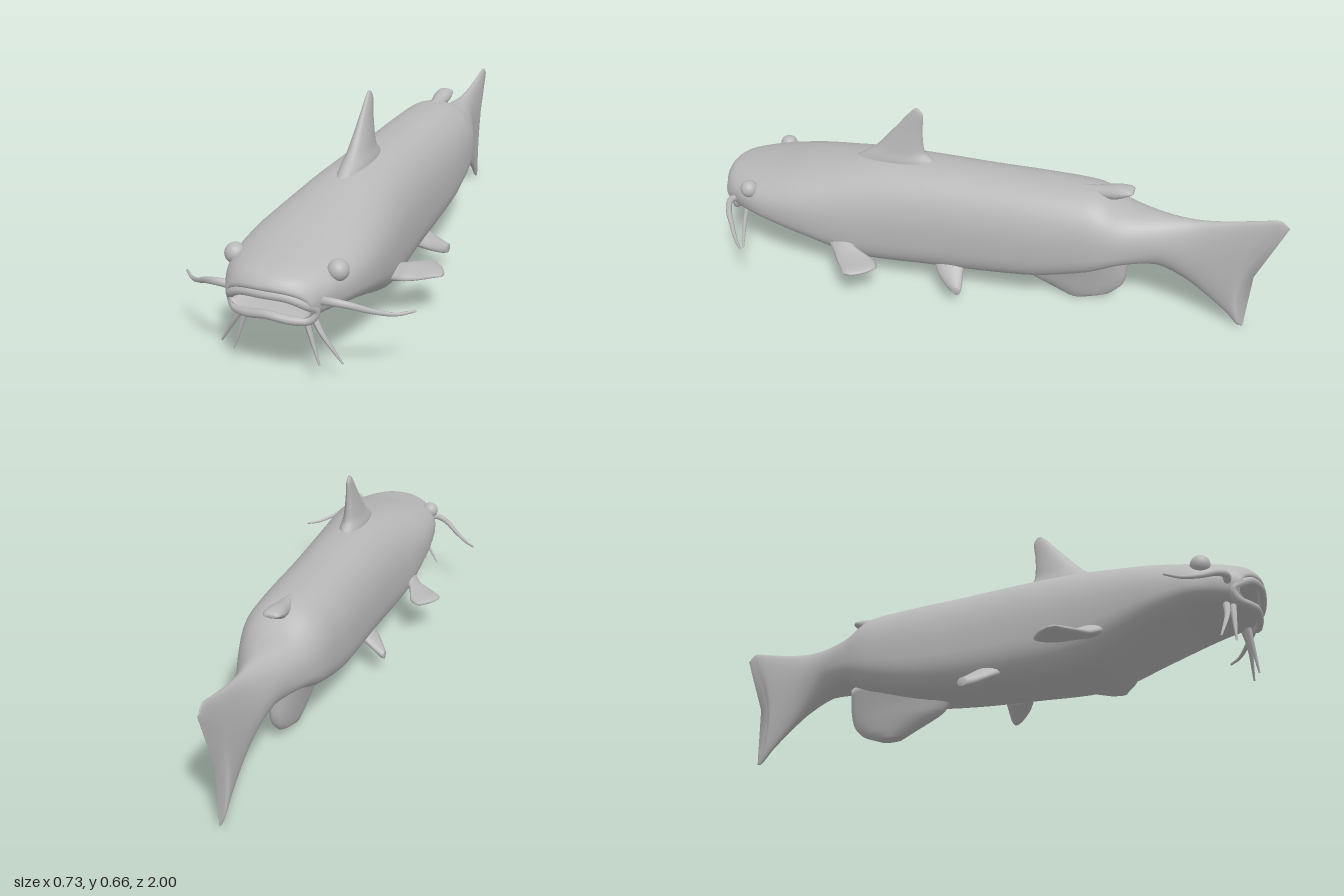
import * as THREE from 'three';

const skin = new THREE.MeshStandardMaterial({ color: 0xb8b8b8 });
skin.name = 'grey skin';

const V = (x, y, z) => new THREE.Vector3(x, y, z);
const spow = (v, p) => Math.sign(v) * Math.pow(Math.abs(v), p);

// Smooth closed skin through rings of equal point count, with both ends capped
function loft(rings, steps = 4) {
  const n = rings[0].length, rows = (rings.length - 1) * steps, pos = [], idx = [];
  const columns = rings[0].map((_, j) =>
    new THREE.CatmullRomCurve3(rings.map(r => r[j]), false, 'catmullrom', 0.4).getPoints(rows));
  for (let i = 0; i <= rows; i++) for (let j = 0; j < n; j++) pos.push(...columns[j][i].toArray());
  for (let i = 0; i < rows; i++) for (let j = 0; j < n; j++) {
    const k = (j + 1) % n, a = i * n + j, b = i * n + k, c = a + n, d = b + n;
    idx.push(a, c, b, b, c, d);
  }
  for (const [row, flip] of [[0, false], [rows, true]]) {
    const mid = V(0, 0, 0), centre = pos.length / 3;
    columns.forEach(col => mid.addScaledVector(col[row], 1 / n));
    pos.push(...mid.toArray());
    for (let j = 0; j < n; j++) {
      const a = row * n + j, b = row * n + (j + 1) % n;
      idx.push(centre, ...(flip ? [b, a] : [a, b]));
    }
  }
  // Turn the faces outward if the enclosed volume comes out negative
  let volume = 0;
  const p = i => V(pos[i * 3], pos[i * 3 + 1], pos[i * 3 + 2]);
  for (let i = 0; i < idx.length; i += 3) volume += p(idx[i]).dot(p(idx[i + 1]).cross(p(idx[i + 2])));
  if (volume < 0) idx.reverse();
  const g = new THREE.BufferGeometry();
  g.setAttribute('position', new THREE.Float32BufferAttribute(pos, 3));
  g.setIndex(idx);
  g.computeVertexNormals();
  return g;
}

// Ring of points from a rule that receives cosine and sine
const ring = (n, rule) => Array.from({ length: n }, (_, j) => {
  const a = j / n * Math.PI * 2;
  return rule(Math.cos(a), Math.sin(a));
});

// Whisker: a tube that narrows to its tip
function whisker(points, r) {
  const curve = new THREE.CatmullRomCurve3(points), seg = 20, sides = 8;
  const g = new THREE.TubeGeometry(curve, seg, r, sides);
  const pos = g.attributes.position, v = V(0, 0, 0);
  for (let i = 0; i < pos.count; i++) {
    const t = Math.floor(i / (sides + 1)) / seg, c = curve.getPointAt(t);
    v.fromBufferAttribute(pos, i).sub(c).multiplyScalar(1 - 0.75 * t).add(c);
    pos.setXYZ(i, v.x, v.y, v.z);
  }
  g.computeVertexNormals();
  return g;
}

export function createModel() {
  const model = new THREE.Group();
  const add = (name, geometry) => {
    const m = new THREE.Mesh(geometry, skin);
    m.name = name;
    model.add(m);
    return m;
  };

  // Body and tail: z, half width, bottom, top, snout curve, tail fork
  const sections = [
    [0.90, 0.080, 0.230, 0.265, 1, 0],
    [0.965, 0.115, 0.220, 0.280, 2.2, 0],
    [0.995, 0.128, 0.208, 0.305, 2.2, 0],
    [0.97, 0.145, 0.200, 0.337, 1.8, 0],
    [0.90, 0.170, 0.198, 0.356, 0.6, 0],
    [0.80, 0.195, 0.190, 0.376, 0, 0],
    [0.67, 0.205, 0.150, 0.408, 0, 0],
    [0.50, 0.193, 0.087, 0.443, 0, 0],
    [0.38, 0.180, 0.073, 0.460, 0, 0],
    [0.20, 0.167, 0.083, 0.470, 0, 0],
    [0.00, 0.160, 0.098, 0.474, 0, 0],
    [-0.20, 0.157, 0.125, 0.479, 0, 0],
    [-0.38, 0.145, 0.180, 0.475, 0, 0],
    [-0.48, 0.118, 0.225, 0.425, 0, 0],
    [-0.60, 0.073, 0.220, 0.414, 0, 0],
    [-0.70, 0.044, 0.170, 0.415, 0, 0.05],
    [-0.77, 0.032, 0.115, 0.430, 0, 0.25],
    [-0.83, 0.025, 0.057, 0.455, 0, 0.6],
    [-0.865, 0.020, 0.012, 0.470, 0, 0.85],
    [-0.88, 0.010, 0.010, 0.445, 0, 1],
  ];
  add('body', loft(sections.map(([z, w, b, t, bend, fork]) => {
    const thin = z < -0.5, mid = b + (t - b) * (thin ? 0.5 : 0.42);
    return ring(48, (c, s) => {
      const e = 2 / (thin ? 2 : s > 0 ? 2.3 : 2.9);
      const x = w * spow(c, e), y = mid + spow(s, e) * (s > 0 ? t - mid : mid - b);
      const h = (2 * y - b - t) / (t - b);
      const chin = bend ? Math.max(0, -h) * 0.025 : 0;
      return V(x, y, z - bend * x * x - chin - fork * (0.045 * h + 0.075 * h * h));
    });
  }), 4));

  // Lips around the open mouth
  const lipHalf = [[0, 0.286], [0.07, 0.28], [0.112, 0.26], [0.13, 0.236], [0.115, 0.208], [0.07, 0.207], [0, 0.217]];
  const lipPoints = [...lipHalf, ...lipHalf.slice(1, -1).reverse().map(([x, y]) => [-x, y])]
    .map(([x, y]) => V(x, y, 0.985 - 2.2 * x * x - (y < 0.24 ? 0.018 : 0)));
  add('lips', new THREE.TubeGeometry(new THREE.CatmullRomCurve3(lipPoints, true), 64, 0.013, 10, true));

  // Upright fins: height, front z, back z, half thickness
  const uprightFin = (name, rows) => add(name, loft(rows.map(([y, f, b, h]) =>
    ring(20, (c, s) => V(h * c, y, (f + b) / 2 + s * (f - b) / 2)))));
  uprightFin('dorsalFin', [
    [0.42, 0.52, 0.19, 0.046], [0.465, 0.46, 0.20, 0.042], [0.50, 0.41, 0.235, 0.032],
    [0.58, 0.34, 0.24, 0.018], [0.64, 0.29, 0.235, 0.010], [0.664, 0.268, 0.248, 0.005],
  ]);
  uprightFin('analFin', [
    [0.22, -0.02, -0.50, 0.080], [0.13, -0.08, -0.497, 0.055], [0.08, -0.12, -0.48, 0.044],
    [0.04, -0.21, -0.44, 0.034], [0.012, -0.28, -0.37, 0.024],
  ]);

  // Small fatty fin before the tail: z, half width, bottom, top
  add('adiposeFin', loft([
    [-0.30, 0.012, 0.43, 0.477], [-0.38, 0.025, 0.44, 0.486], [-0.44, 0.032, 0.45, 0.499],
    [-0.48, 0.030, 0.472, 0.499], [-0.495, 0.020, 0.48, 0.492],
  ].map(([z, w, b, t]) => ring(16, (c, s) => V(w * c, (b + t) / 2 + s * (t - b) / 2, z)))));

  for (const side of [1, -1]) {
    const word = side > 0 ? 'left' : 'right';

    // Side fins: x, front z, back z, height, half thickness
    const sideFin = (name, rows) => add(word + name, loft(rows.map(([x, f, b, y, h]) =>
      ring(16, (c, s) => V(side * x, y + h * s, (f + b) / 2 + c * (f - b) / 2)))));
    sideFin('PectoralFin', [
      [0.15, 0.57, 0.47, 0.185, 0.026], [0.19, 0.535, 0.43, 0.170, 0.022], [0.215, 0.51, 0.36, 0.157, 0.016],
      [0.25, 0.485, 0.335, 0.154, 0.013], [0.29, 0.45, 0.37, 0.154, 0.010], [0.31, 0.435, 0.405, 0.153, 0.004],
    ]);
    sideFin('PelvicFin', [
      [0.11, 0.18, 0.06, 0.14, 0.030], [0.16, 0.14, 0.05, 0.108, 0.022],
      [0.19, 0.10, 0.045, 0.088, 0.019], [0.205, 0.075, 0.045, 0.082, 0.015],
    ]);

    // Eye
    const eye = add(word + 'Eye', new THREE.SphereGeometry(0.031, 24, 16));
    eye.position.set(side * 0.159, 0.324, 0.848);

    // Whiskers
    const path = pts => pts.map(([x, y, z]) => V(side * x, y, z));
    add(word + 'LongWhisker', whisker(path([
      [0.12, 0.255, 0.91], [0.17, 0.266, 0.925], [0.215, 0.257, 0.91], [0.27, 0.23, 0.87],
      [0.32, 0.212, 0.83], [0.362, 0.212, 0.79]]), 0.014));
    add(word + 'InnerChinWhisker', whisker(path([
      [0.088, 0.205, 0.915], [0.10, 0.17, 0.918], [0.133, 0.068, 0.925]]), 0.011));
    add(word + 'OuterChinWhisker', whisker(path([
      [0.105, 0.205, 0.90], [0.13, 0.16, 0.905], [0.19, 0.068, 0.895]]), 0.011));
  }
  return model;
}
